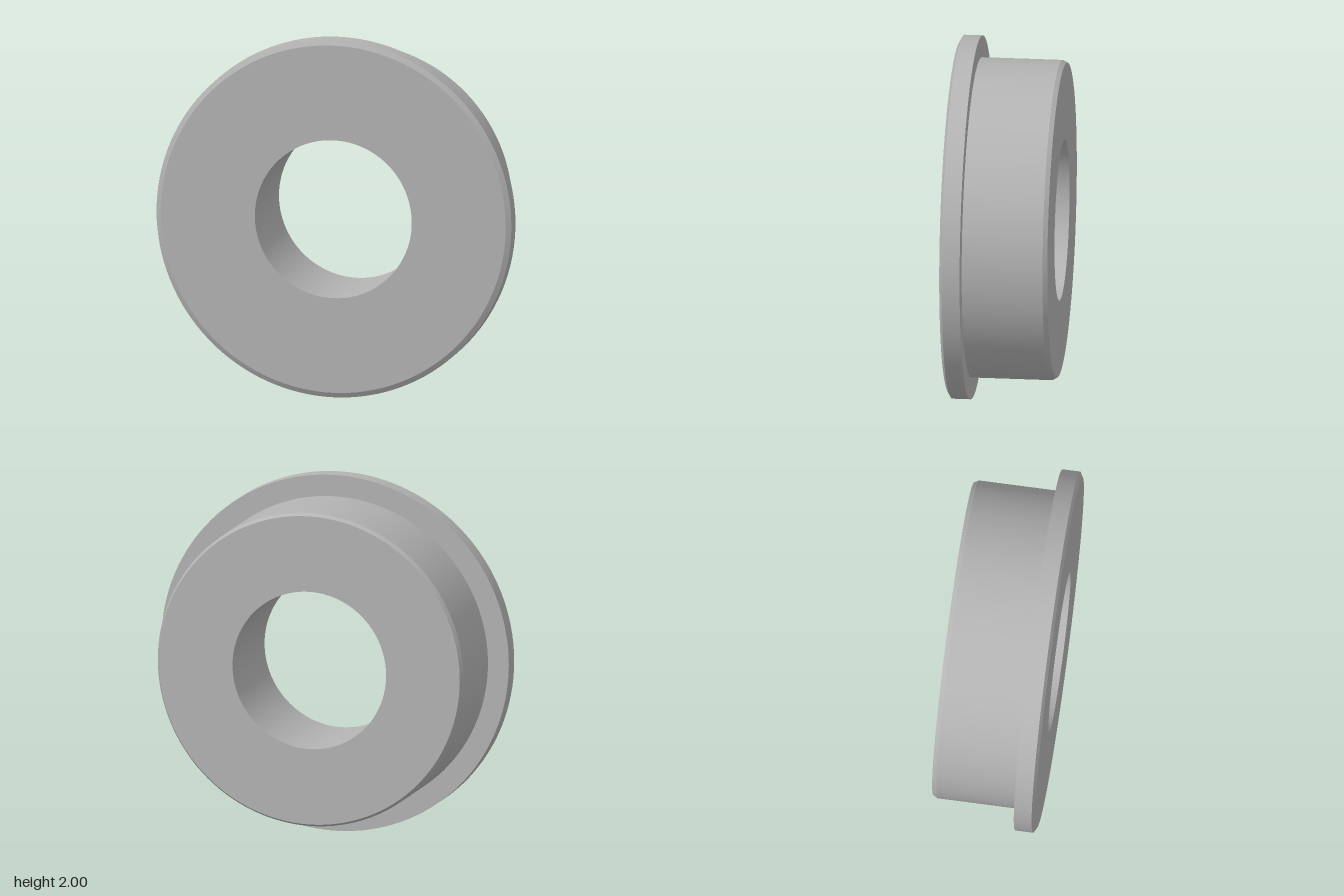
import * as THREE from 'three';
import { mergeGeometries } from 'three/addons/utils/BufferGeometryUtils.js';

// Turns a profile of [radius, z] points around the z axis, keeping each corner sharp
function turned(profile) {
  const bands = [];
  for (let i = 0; i < profile.length - 1; i++) {
    const ends = [profile[i], profile[i + 1]].map(([r, z]) => new THREE.Vector2(r, z));
    bands.push(new THREE.LatheGeometry(ends, 128));
  }
  return mergeGeometries(bands).rotateX(Math.PI / 2);
}

export function createModel() {
  const group = new THREE.Group();
  group.name = 'flangedBushing';
  const steel = new THREE.MeshStandardMaterial({ color: 0xb3b3b3 });
  steel.name = 'steel grey';

  const half = 0.293, step = 0.178;
  const bore = 0.442, barrel = 0.88;

  const add = (name, profile) => {
    const mesh = new THREE.Mesh(turned(profile), steel);
    mesh.name = name;
    mesh.position.y = 1;
    group.add(mesh);
  };

  // Barrel: bore, rear face, chamfered rear edge and outer wall
  add('barrel', [
    [bore, step], [bore, -half], [barrel - 0.014, -half],
    [barrel, -half + 0.025], [barrel, step],
  ]);

  // Flange: rear shoulder, rim, chamfered front edge, front face and bore
  add('flange', [
    [barrel, step], [1, step], [1, half - 0.016],
    [0.972, half], [bore, half], [bore, step],
  ]);

  return group;
}
